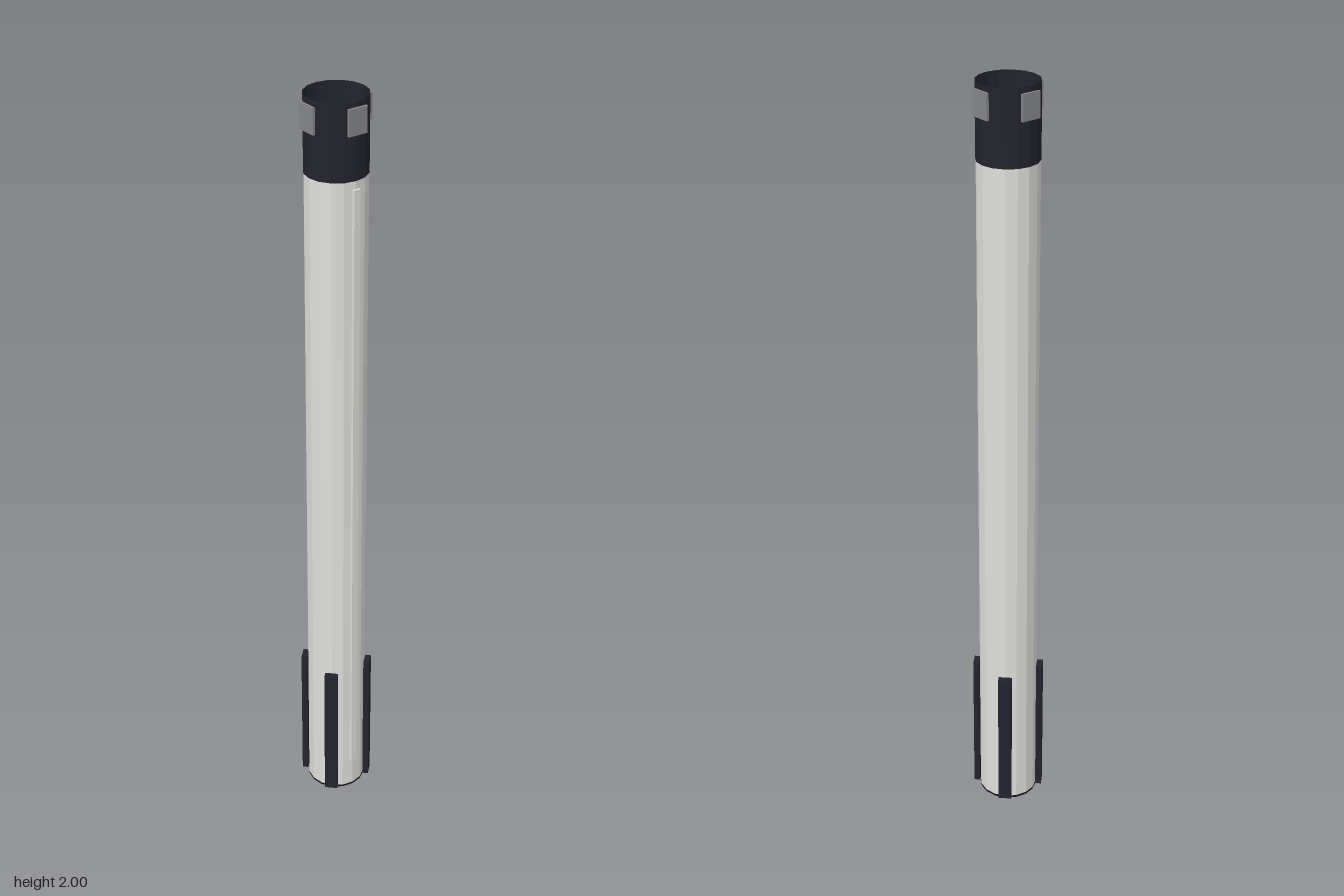
import * as THREE from 'three';

const SIDES = 16;

function material(name, color, extra = {}) {
  const m = new THREE.MeshStandardMaterial({ color, flatShading: true, ...extra });
  m.name = name;
  return m;
}

export function createModel() {
  const white = material('offWhite', 0xdededa);
  const dark = material('darkNavy', 0x23232e, { side: THREE.DoubleSide });
  const black = material('baseBlack', 0x1a1a1e);
  const grey = material('finGrey', 0x85868a);

  const model = new THREE.Group();
  model.name = 'boosterStage';

  function add(name, geometry, mat, x = 0, y = 0, z = 0, parent = model) {
    const mesh = new THREE.Mesh(geometry, mat);
    mesh.name = name;
    mesh.position.set(x, y, z);
    parent.add(mesh);
    return mesh;
  }

  // Main tank tube, with its dark base plate
  add('tankBody', new THREE.CylinderGeometry(0.077, 0.077, 1.804, SIDES, 1, true), white, 0, 0.908, 0);
  add('basePlate', new THREE.CylinderGeometry(0.077, 0.077, 0.006, SIDES), black, 0, 0.003, 0);

  // Faceted tank dome inside the interstage
  const dome = [[0.077, 1.81], [0.058, 1.845], [0.038, 1.86], [0, 1.868]]
    .map(([r, y]) => new THREE.Vector2(r, y));
  add('tankDome', new THREE.LatheGeometry(dome, SIDES), white);

  // Open interstage collar
  add('interstage', new THREE.CylinderGeometry(0.078, 0.078, 0.19, SIDES, 1, true), dark, 0, 1.905, 0);

  // Cable raceway down the front
  add('raceway', new THREE.BoxGeometry(0.018, 1.7, 0.01), white, 0, 0.94, 0.078);

  // Four steering fins on the axes and four folded legs between them
  for (let i = 0; i < 4; i++) {
    const quarter = new THREE.Group();
    quarter.name = 'finAndLeg' + (i + 1);
    quarter.rotation.y = i * Math.PI / 2;
    add('steeringFin', new THREE.BoxGeometry(0.052, 0.065, 0.006), grey, 0, 1.955, 0.081, quarter);
    const leg = add('landingLeg', new THREE.BoxGeometry(0.035, 0.39, 0.016), dark,
      0.06, 0.205, 0.06, quarter);
    leg.rotation.y = Math.PI / 4;
    model.add(quarter);
  }

  return model;
}
